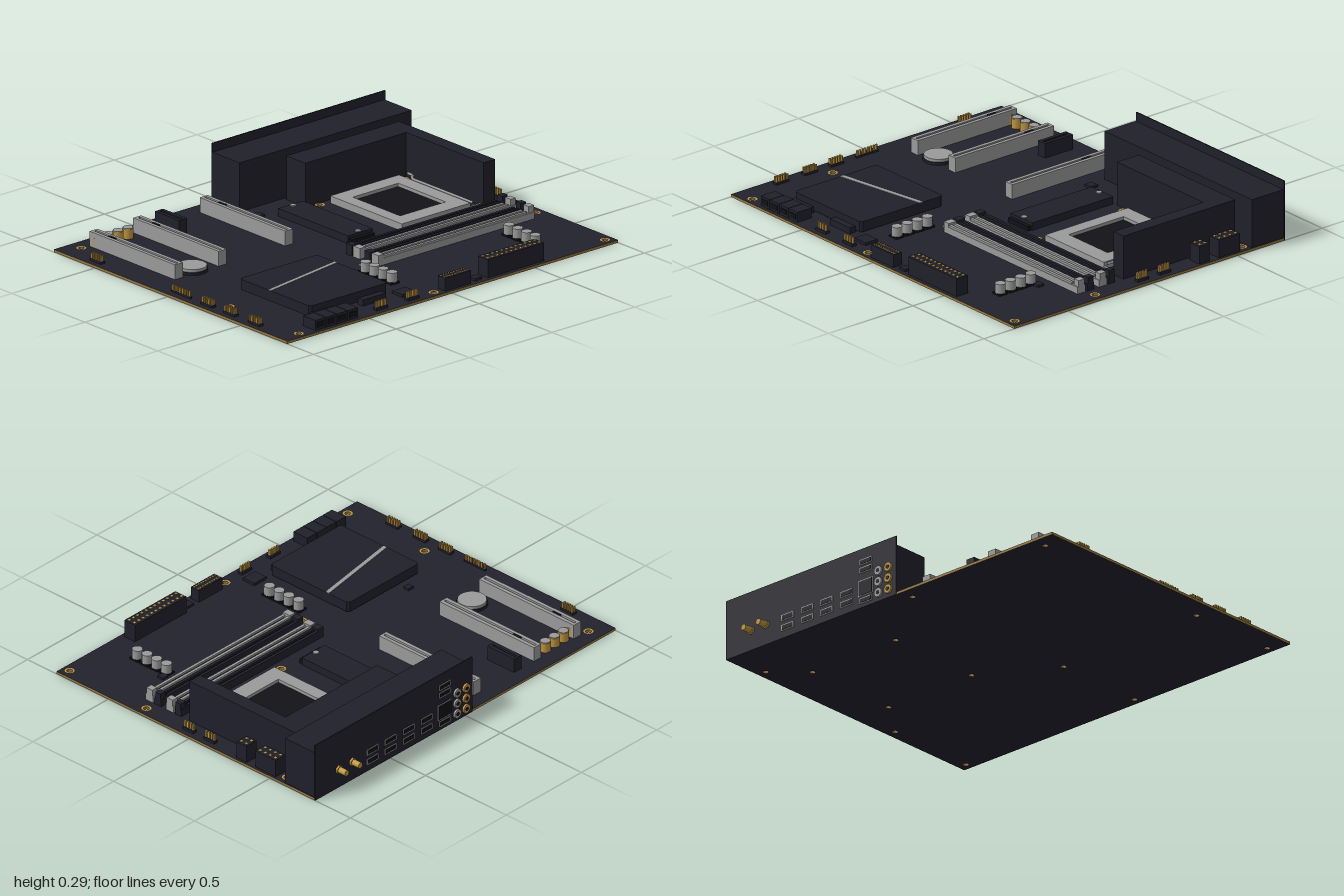
import * as THREE from 'three';

const mat = (name, color) => Object.assign(new THREE.MeshStandardMaterial({ color }), { name });
const M = {
  board: mat('board coating', 0x22222d),
  dark: mat('dark plastic', 0x20202b),
  black: mat('black slot', 0x121217),
  grey: mat('grey metal', 0x9b9b9b),
  gold: mat('gold contact', 0xbf9640),
  edge: mat('board edge', 0x97793f),
};
const T = 0.013; // board thickness

export function createModel() {
  const root = new THREE.Group();
  root.name = 'motherboard';

  const add = (name, geometry, material, x = 0, y = 0, z = 0, parent = root) => {
    const mesh = new THREE.Mesh(geometry, material);
    mesh.name = name;
    mesh.position.set(x, y, z);
    parent.add(mesh);
    return mesh;
  };
  // Box given by its extents
  const box = (name, m, x0, x1, y0, y1, z0, z1, parent = root) =>
    add(name, new THREE.BoxGeometry(x1 - x0, y1 - y0, z1 - z0), m,
      (x0 + x1) / 2, (y0 + y1) / 2, (z0 + z1) / 2, parent);
  // Upright cylinder standing on y0
  const cyl = (name, m, x, z, r, y0, y1, seg = 16, parent = root) =>
    add(name, new THREE.CylinderGeometry(r, r, y1 - y0, seg), m, x, (y0 + y1) / 2, z, parent);
  const group = (name) => {
    const g = new THREE.Group();
    g.name = name;
    root.add(g);
    return g;
  };
  // Flat shape in the x,z plane, raised upwards
  const slab = (shape, depth) => new THREE.ExtrudeGeometry(shape, { depth, bevelEnabled: false, curveSegments: 8 })
    .rotateX(-Math.PI / 2);
  const rect = (C, x0, x1, z0, z1) => new C([[x0, -z1], [x1, -z1], [x1, -z0], [x0, -z0]]
    .map(([x, y]) => new THREE.Vector2(x, y)));

  // Circuit board with drilled mounting holes and gold rings
  const holes = [[-0.895, -0.71], [-0.08, -0.71], [0.955, -0.565], [-0.895, 0.305], [-0.08, 0.305],
    [0.955, 0.305], [-0.895, 0.78], [-0.08, 0.78], [0.955, 0.78],
    [0.29, -0.42], [0.8, -0.42], [0.29, 0.09], [0.8, 0.09]];
  const plate = rect(THREE.Shape, -1, 1, -0.78, 0.82);
  for (const [x, z] of holes) plate.holes.push(new THREE.Path().absarc(x, -z, 0.014, 0, Math.PI * 2, true));
  add('circuitBoard', slab(plate, T), [M.board, M.edge]);
  for (const [x, z] of holes) {
    const top = add('holeRing', new THREE.RingGeometry(0.014, 0.023, 16), M.gold, x, T + 0.001, z);
    top.rotation.x = -Math.PI / 2;
  }

  // Rear port cover and plate
  box('portCover', M.dark, -0.045, 0.995, T, 0.25, -0.775, -0.59);
  box('portPlate', M.dark, -0.045, 1, 0, 0.293, -0.782, -0.776);

  // Rear ports: grey rim with a dark opening
  const port = (x, y, w, h) => {
    box('portRim', M.grey, x - w / 2, x + w / 2, y - h / 2, y + h / 2, -0.785, -0.782);
    box('portOpening', M.black, x - w / 2 + 0.005, x + w / 2 - 0.005, y - h / 2 + 0.005, y + h / 2 - 0.005, -0.787, -0.784);
  };
  for (const x of [0.62, 0.5, 0.38, 0.26]) for (const y of [0.05, 0.1]) port(x, y, 0.075, 0.03);
  for (const y of [0.185, 0.225]) port(0.14, y, 0.075, 0.028);
  port(0.14, 0.095, 0.09, 0.08);
  port(0.14, 0.033, 0.075, 0.028);
  [[0.06, M.grey], [0.0, M.gold]].forEach(([x, m]) => {
    for (const y of [0.04, 0.095, 0.15]) {
      add('audioJack', new THREE.CylinderGeometry(0.022, 0.022, 0.012, 16), m, x, y, -0.786).rotation.x = Math.PI / 2;
      add('jackHole', new THREE.CylinderGeometry(0.01, 0.01, 0.003, 12), M.black, x, y, -0.792).rotation.x = Math.PI / 2;
    }
  });
  for (const x of [0.755, 0.845]) {
    add('antennaNut', new THREE.CylinderGeometry(0.021, 0.021, 0.012, 6), M.gold, x, 0.098, -0.787).rotation.x = Math.PI / 2;
    add('antennaPost', new THREE.CylinderGeometry(0.015, 0.015, 0.055, 12), M.gold, x, 0.098, -0.807).rotation.x = Math.PI / 2;
  }

  // Power stage heatsinks
  box('rearHeatsink', M.dark, 0.22, 0.9, T, 0.225, -0.57, -0.44);
  box('sideHeatsink', M.dark, 0.83, 0.9, T, 0.225, -0.44, 0.09);

  // Processor socket with open frame and lever
  const frame = rect(THREE.Shape, 0.34, 0.755, -0.405, 0.085);
  frame.holes.push(rect(THREE.Path, 0.405, 0.68, -0.325, 0));
  add('socketFrame', slab(frame, 0.035), M.grey, 0, T, 0);
  box('socketBed', M.black, 0.405, 0.68, T, 0.032, -0.325, 0);
  const lever = new THREE.CatmullRomCurve3([[0.805, -0.4], [0.8, -0.36], [0.775, -0.34], [0.772, -0.25], [0.772, 0.085]]
    .map(([x, z]) => new THREE.Vector3(x, 0.045, z)));
  add('socketLever', new THREE.TubeGeometry(lever, 24, 0.007, 6), M.grey);
  box('leverFoot', M.grey, 0.76, 0.82, T, 0.03, 0.078, 0.092);

  // Drive heatsink with two screws
  box('driveHeatsink', M.dark, 0.05, 0.2, T, 0.05, -0.435, 0.045);
  box('driveSocket', M.black, 0.055, 0.195, T, 0.035, 0.045, 0.065);
  for (const z of [-0.415, 0.028]) cyl('driveScrew', M.grey, 0.125, z, 0.014, 0.05, 0.055);

  // Memory slots, alternating dark and grey
  [[0.16, M.dark], [0.212, M.grey], [0.285, M.dark], [0.338, M.grey]].forEach(([z, m]) => {
    const g = group('memorySlot');
    const s = m === M.grey ? 0.023 : 0.02;
    box('slotBase', m, -0.045, 0.9, T, 0.046, z - s, z + s, g);
    for (const k of [-1, 1]) {
      const c = z + k * 0.014;
      box('slotRail', m, -0.01, 0.855, 0.046, 0.056, c - 0.007, c + 0.007, g);
    }
    box('slotGroove', M.black, 0, 0.85, 0.046, 0.048, z - 0.005, z + 0.005, g);
    box('slotEnd', m, -0.045, -0.01, 0.046, 0.065, z - s, z + s, g);
    box('slotLatch', m, 0.868, 0.9, 0.046, 0.078, z - s * 0.8, z + s * 0.8, g);
  });

  // Expansion slots
  const expansion = (x, m, z0, z1) => {
    const g = group('expansionSlot');
    box('slotBase', m, x - 0.024, x + 0.024, T, 0.06, z0, z1, g);
    for (const k of [-1, 1]) {
      const c = x + k * 0.015;
      box('slotRail', m, c - 0.009, c + 0.009, 0.06, 0.085, z0, z1, g);
    }
    box('slotGroove', M.black, x - 0.006, x + 0.006, 0.06, 0.062, z0 + 0.01, z1 - 0.01, g);
    for (const [a, b] of [[z0, z0 + 0.012], [z1 - 0.012, z1]]) box('slotEnd', m, x - 0.006, x + 0.006, 0.06, 0.085, a, b, g);
    if (z1 - z0 > 0.3) box('slotKey', M.black, x - 0.007, x + 0.007, 0.06, 0.087, -0.6, -0.555, g);
  };
  for (const x of [-0.826, -0.562, -0.16]) expansion(x, M.grey, -0.705, -0.12);
  expansion(-0.43, M.dark, -0.705, -0.54);

  // Capacitors
  for (let i = 0; i < 4; i++) {
    const xa = -0.825 + i * 0.06;
    cyl('audioCapacitor', M.gold, xa, -0.675, 0.026, T, 0.06, 12);
    cyl('audioCapacitorCap', M.grey, xa, -0.675, 0.024, 0.06, 0.064, 12);
    for (const [x, z0] of [[-0.138, 0.38], [0.67, 0.446]]) {
      const z = z0 + i * 0.06;
      box('capacitorBase', M.black, x - 0.025, x + 0.025, T, 0.022, z - 0.025, z + 0.025);
      cyl('capacitor', M.grey, x, z, 0.025, 0.022, 0.067, 12);
    }
  }

  // Coin battery in its holder
  cyl('batteryHolder', M.dark, -0.708, -0.163, 0.073, T, 0.026, 32);
  cyl('battery', M.grey, -0.708, -0.163, 0.067, 0.026, 0.04, 32);

  // Chipset heatsink with a slanted stripe
  const c = 0.012;
  const cover = new THREE.Shape([[-0.73 + c, -0.67], [-0.26 - c, -0.67], [-0.26, -0.67 + c], [-0.26, -0.185 - c],
    [-0.26 - c, -0.185], [-0.73 + c, -0.185], [-0.73, -0.185 - c], [-0.73, -0.67 + c]]
    .map(([x, y]) => new THREE.Vector2(x, y)));
  add('chipsetHeatsink', slab(cover, 0.05), M.dark, 0, 0.024, 0);
  box('chipset', M.black, -0.7, -0.29, T, 0.024, 0.22, 0.64);
  const stripe = new THREE.Shape([[-0.73, -0.403], [-0.26, -0.325], [-0.26, -0.305], [-0.73, -0.383]]
    .map(([x, y]) => new THREE.Vector2(x, y)));
  add('heatsinkStripe', slab(stripe, 0.003), M.grey, 0, 0.0735, 0);
  for (const [a, b] of [[-0.73, -0.595], [-0.44, -0.3]]) box('frontSocket', M.dark, a, b, T, 0.043, 0.665, 0.703);

  // Drive connectors along the front edge
  for (let i = 0; i < 4; i++) {
    const x = -0.812 + i * 0.065;
    box('driveConnector', M.dark, x, x + 0.062, T, 0.062, 0.715, 0.8);
    box('connectorMouth', M.black, x + 0.01, x + 0.052, 0.025, 0.05, 0.8, 0.803);
  }

  // Header: base block with a grid of gold pins
  const header = (name, x0, x1, z0, z1, nx, nz, baseTop, pinTop, r = 0.005) => {
    const g = group(name);
    box('headerBase', M.dark, x0, x1, T, baseTop, z0, z1, g);
    for (let i = 0; i < nx; i++) for (let j = 0; j < nz; j++) {
      const x = x0 + (x1 - x0) * (i + 0.5) / nx, z = z0 + (z1 - z0) * (j + 0.5) / nz;
      box('pin', M.gold, x - r, x + r, baseTop, pinTop, z - r, z + r, g);
    }
  };
  header('mainPowerConnector', 0.23, 0.57, 0.733, 0.8, 12, 2, 0.1, 0.102, 0.006);
  header('frontPortHeader', -0.03, 0.125, 0.752, 0.802, 10, 2, 0.075, 0.077, 0.004);
  header('processorPower', 0.922, 0.988, -0.525, -0.4, 2, 4, 0.1, 0.102, 0.006);
  header('processorPower', 0.922, 0.988, -0.345, -0.285, 2, 2, 0.1, 0.102, 0.006);
  for (const z of [-0.13, 0.0]) header('fanHeader', 0.95, 0.972, z, z + 0.065, 1, 4, 0.026, 0.058);
  for (const x of [-0.435, -0.245]) header('pinHeader', x, x + 0.068, 0.768, 0.792, 4, 1, 0.026, 0.055);
  for (const z of [-0.565, 0.195, 0.35, 0.52]) header('sideHeader', -0.972, -0.946, z, z + 0.075, 2, 5, 0.024, 0.05, 0.004);
  header('edgeHeader', -0.965, -0.953, -0.015, 0.115, 1, 8, 0.022, 0.048, 0.004);

  // Small chips
  for (const [x, z, w] of [[-0.02, -0.49, 0.042], [-0.61, 0.14, 0.032], [0.71, 0.432, 0.035], [0.178, 0.773, 0.042]])
    box('chip', M.dark, x - w / 2, x + w / 2, T, 0.024, z - w / 2, z + w / 2);
  box('controllerChip', M.dark, -0.23, -0.15, T, 0.026, 0.665, 0.735);

  return root;
}
